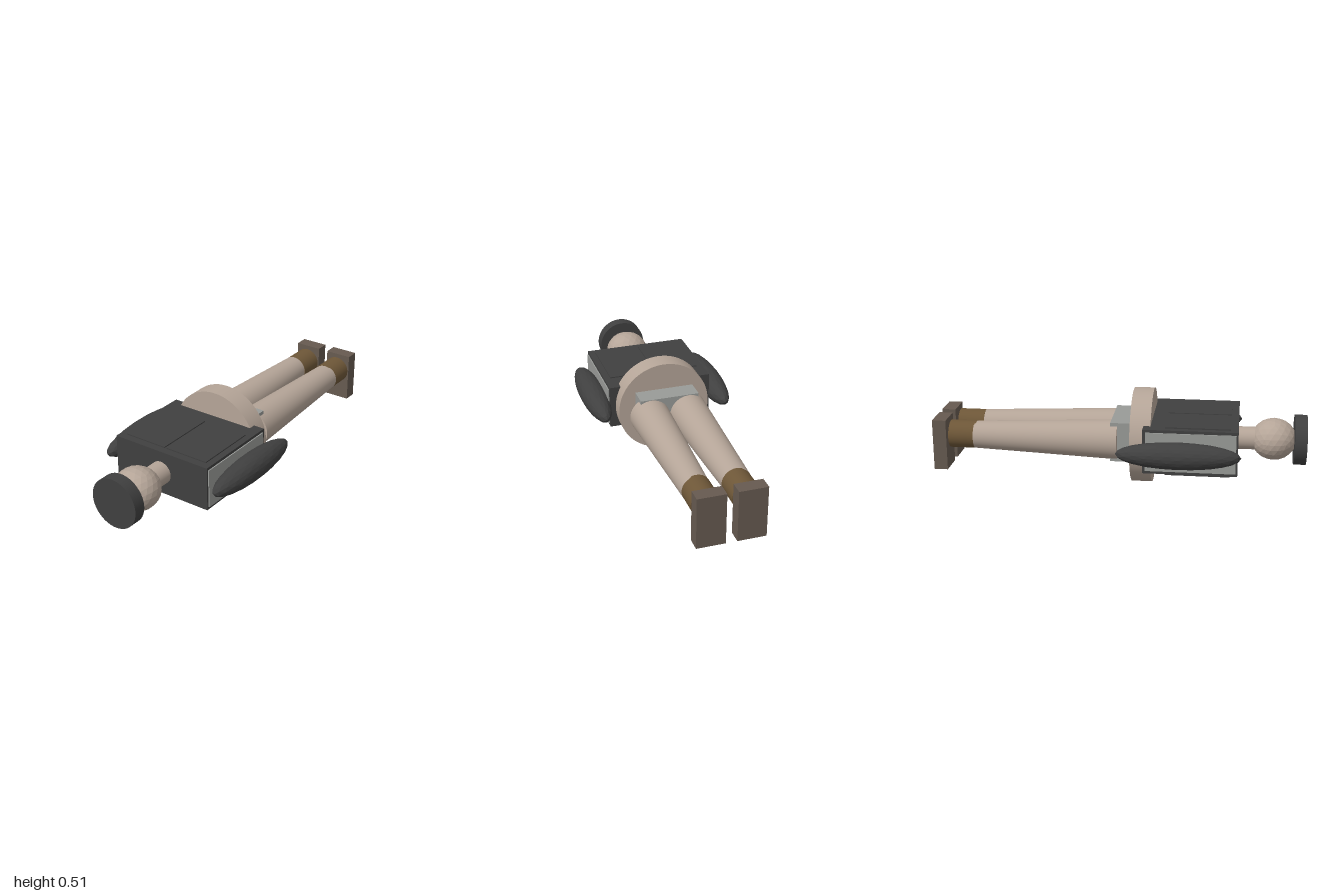
import * as THREE from 'three';

const Y = 0.257; // height of the body's long axis
const mat = (color, flat = false) => new THREE.MeshStandardMaterial({ color, flatShading: flat });

export function createModel() {
  const model = new THREE.Group();
  const skin = mat(0xb5a598);
  const skinFlat = mat(0xb5a598, true);
  const dark = mat(0x404040);
  const darkFlat = mat(0x404040, true);
  const grey = mat(0x999b98);
  const brown = mat(0x6e5738);
  const shoe = mat(0x665a50);

  const add = (name, geometry, material, x = 0, y = Y, z = 0) => {
    const mesh = new THREE.Mesh(geometry, material);
    mesh.name = name;
    mesh.position.set(x, y, z);
    model.add(mesh);
    return mesh;
  };
  // Box given by its lower and upper limits on each axis
  const box = (name, material, [x0, x1], [y0, y1], [z0, z1]) =>
    add(name, new THREE.BoxGeometry(x1 - x0, y1 - y0, z1 - z0), material,
      (x0 + x1) / 2, (y0 + y1) / 2, (z0 + z1) / 2);
  // Round part along z, from z0 (radius r0) to z1 (radius r1)
  const round = (name, material, x, z0, z1, r0, r1 = r0) =>
    add(name, new THREE.CylinderGeometry(r1, r0, z1 - z0, 64).rotateX(Math.PI / 2),
      material, x, Y, (z0 + z1) / 2);
  // Faceted ellipsoid
  const ellipsoid = (name, material, x, z, rx, ry, rz) =>
    add(name, new THREE.IcosahedronGeometry(1, 3).scale(rx, ry, rz), material, x, Y, z);

  // Head, hat and neck
  round('hat', dark, 0, 0.935, 1, 0.134);
  ellipsoid('head', skinFlat, 0, 0.828, 0.122, 0.112, 0.121);
  round('neck', skin, 0, 0.63, 0.75, 0.061);

  // Torso with a belly panel and two back strips
  box('torso', dark, [-0.287, 0.287], [0.137, 0.376], [0.145, 0.64]);
  box('lowerPanel', dark, [-0.252, 0.252], [0.119, 0.14], [0.26, 0.6]);

  // Waist disc and hip block
  round('waistDisc', skin, 0, 0.073, 0.182, 0.255);
  box('hips', grey, [-0.163, 0.163], [0.152, 0.366], [-0.037, 0.08]);

  // Paired parts
  for (const s of [-1, 1]) {
    const span = (a, b) => (s > 0 ? [a, b] : [-b, -a]);
    box('upperPanel', dark, span(0.006, 0.252), [0.37, 0.382], [0.26, 0.6]);
    box('lowerStrip', dark, span(0.014, 0.026), [0.107, 0.125], [0.26, 0.6]);
    box('sidePanel', grey, span(0.28, 0.293), [0.152, 0.361], [0.16, 0.63]);
    ellipsoid('arm', darkFlat, s * 0.339, 0.333, 0.072, 0.071, 0.324);
    round('leg', skin, s * 0.106, -0.78, 0, 0.074, 0.107);
    round('ankleCuff', brown, s * 0.104, -0.915, -0.77, 0.075);
    box('foot', shoe, span(0.029, 0.179), [0.073, 0.35], [-1, -0.926]);
  }
  return model;
}
